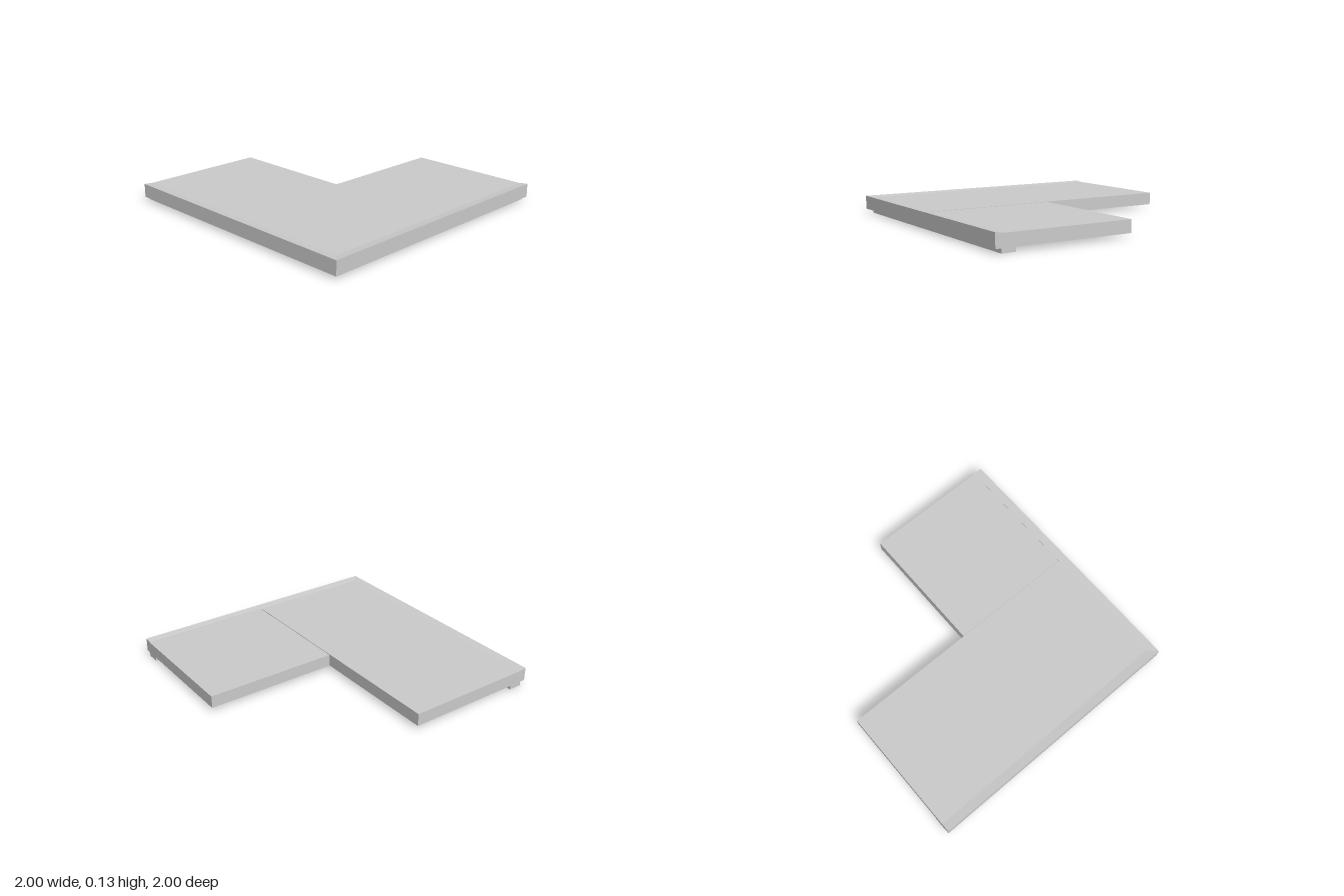
import * as THREE from 'three';

const material = new THREE.MeshStandardMaterial({ color: 0xcccccc, flatShading: true });

// Box given by its lower and upper corners
function slab(name, [x0, y0, z0], [x1, y1, z1]) {
  const geometry = new THREE.BoxGeometry(x1 - x0, y1 - y0, z1 - z0);
  geometry.translate((x0 + x1) / 2, (y0 + y1) / 2, (z0 + z1) / 2);
  const mesh = new THREE.Mesh(geometry, material);
  mesh.name = name;
  return mesh;
}

// Sweeps a four-point profile [inset from outer edge, height] along the
// left and front edges, with a mitred corner where they meet
function mitredEdge(name, profile) {
  const stations = [
    profile.map(([d, y]) => [1 - d, y, -1]),
    profile.map(([d, y]) => [1 - d, y, 1 - d]),
    profile.map(([d, y]) => [-1, y, 1 - d]),
  ];
  const positions = [];
  const quad = (a, b, c, d) => positions.push(...a, ...b, ...c, ...a, ...c, ...d);
  for (let s = 0; s < 2; s++) {
    const p = stations[s], q = stations[s + 1];
    for (let i = 0; i < 4; i++) {
      const j = (i + 1) % 4;
      quad(p[i], p[j], q[j], q[i]);
    }
  }
  quad(...[...stations[0]].reverse());
  quad(...stations[2]);
  const geometry = new THREE.BufferGeometry();
  geometry.setAttribute('position', new THREE.Float32BufferAttribute(positions, 3));
  geometry.computeVertexNormals();
  const mesh = new THREE.Mesh(geometry, material);
  mesh.name = name;
  return mesh;
}

export function createModel() {
  const group = new THREE.Group();
  group.name = 'cornerSlab';

  const bottom = 0.03, top = 0.123, inner = 0.935;

  // Two flat panels forming the L, with a fine seam between them
  group.add(slab('frontPanel', [-1, bottom, -0.01], [inner, top, inner]));
  group.add(slab('backPanel', [-0.01, bottom, -1], [inner, top - 0.002, -0.013]));

  // Slightly raised rim along the two outer edges
  group.add(mitredEdge('outerRim', [[0, bottom], [0, 0.13], [0.065, top], [0.065, bottom]]));

  // Set-back strip under the rim
  group.add(mitredEdge('lowerStrip', [[0.04, 0], [0.04, bottom], [0.14, bottom], [0.14, 0]]));

  return group;
}
